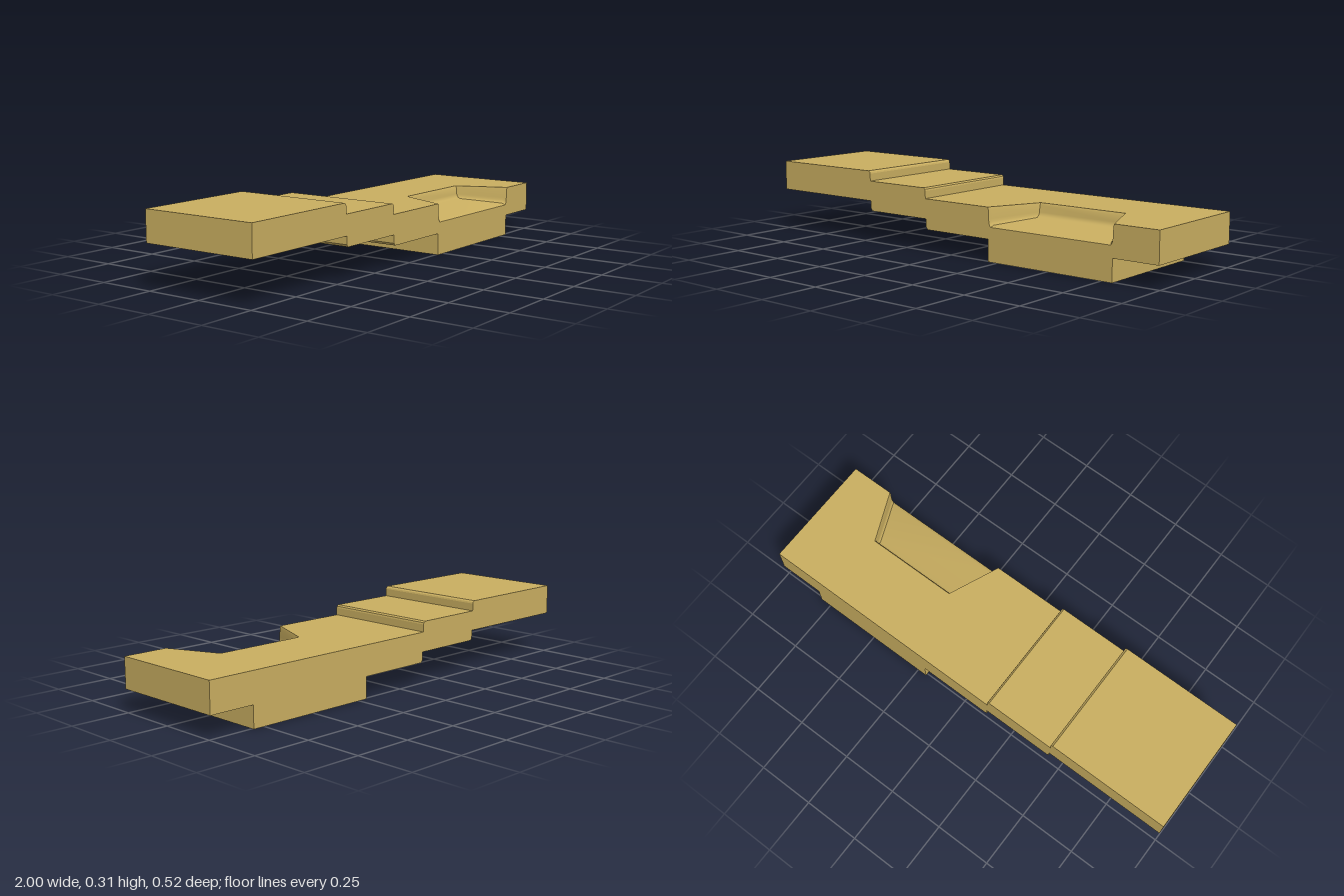
import * as THREE from 'three';
import { mergeGeometries, toCreasedNormals } from 'three/addons/utils/BufferGeometryUtils.js';

const HALF = 0.26;   // half depth of the slab
const DECK = 0.223;  // height of the lowest step
const BACK = 0.037;  // z of the recess back edge

// Build a geometry from a list of [a, b, c, d] quads
function quads(list) {
  const pos = [];
  for (const [a, b, c, d] of list) pos.push(...a, ...b, ...c, ...a, ...c, ...d);
  const g = new THREE.BufferGeometry();
  g.setAttribute('position', new THREE.Float32BufferAttribute(pos, 3));
  g.computeVertexNormals();
  return g;
}

function flatFace(points) {
  const g = new THREE.ShapeGeometry(new THREE.Shape(points.map(p => new THREE.Vector2(...p)))).toNonIndexed();
  g.deleteAttribute('uv');
  return g;
}

// Point of the recess: inset from the rim, fraction of full depth, t = 0 back to 1 front
const stations = [[1, 0.081], [0.93, 0.073], [0, 0.058]];
function recessPoint(inset, fraction, [t, depth], side) {
  const z = THREE.MathUtils.lerp(BACK + inset, HALF, t);
  const halfWidth = 0.3 - 0.43 * (HALF - z) - inset * 0.5;
  return [0.505 + side * halfWidth, DECK - depth * fraction, z];
}

export function createModel() {
  const group = new THREE.Group();
  group.name = 'steppedSlab';
  const material = new THREE.MeshStandardMaterial({ color: 0xc9ae60 });

  // Recess rings, from the rim through a chamfer and cove to the floor
  const rings = [[0, 0], [0.006, 0.16], [0.009, 0.65], [0.012, 0.8], [0.018, 0.92], [0.028, 1]].map(([inset, f]) => [
    ...stations.map(s => recessPoint(inset, f, s, -1)),
    ...[...stations].reverse().map(s => recessPoint(inset, f, s, 1)),
  ]);
  const recess = [];
  for (let i = 0; i < rings.length - 1; i++) {
    for (let j = 0; j < 5; j++) {
      recess.push([rings[i][j], rings[i + 1][j], rings[i + 1][j + 1], rings[i][j + 1]]);
    }
  }
  const floor = rings[rings.length - 1];
  for (let j = 0; j < 2; j++) recess.push([floor[j], floor[5 - j], floor[4 - j], floor[j + 1]]);
  const recessMesh = new THREE.Mesh(toCreasedNormals(quads(recess), 0.6), material);
  recessMesh.name = 'recess';

  // Side profile, counter-clockwise, starting and ending at the deck
  const profile = [
    [-0.132, DECK], [-0.132, 0.255], [-0.134, 0.262], [-0.142, 0.268],
    [-0.453, 0.268], [-0.453, 0.3], [-0.455, 0.306], [-0.463, 0.312],
    [-1, 0.312], [-1, 0.182],
    [-0.45, 0.182], [-0.45, 0.148], [-0.442, 0.138],
    [-0.128, 0.138], [-0.128, 0.103], [-0.12, 0.093],
    [0.207, 0.093], [0.207, 0], [0.8, 0], [0.8, 0.093], [1, 0.093], [1, DECK],
  ];
  const skin = [];
  for (let i = 0; i < profile.length - 1; i++) {
    const p = profile[i], q = profile[i + 1];
    skin.push([[...p, HALF], [...p, -HALF], [...q, -HALF], [...q, HALF]]);
  }

  // Front wall follows the open end of the recess; the back wall is plain
  const front = rings.map(r => r[0]), frontRight = rings.map(r => r[5]);
  const notch = [...frontRight, ...front.reverse()].map(([x, y]) => [x, y]);
  const frontWall = flatFace([...profile, ...notch]).translate(0, 0, HALF);
  const backWall = flatFace(profile.map(([x, y]) => [-x, y])).rotateY(Math.PI).translate(0, 0, -HALF);

  // Deck with the trapezoid cut out of its front edge
  const rim = rings[0];
  const deck = flatFace([
    [-0.132, -HALF], ...[rim[0], rim[2], rim[3], rim[5]].map(([x, , z]) => [x, -z]),
    [1, -HALF], [1, HALF], [-0.132, HALF],
  ]).rotateX(-Math.PI / 2).translate(0, DECK, 0);

  const body = new THREE.Mesh(mergeGeometries([quads(skin), frontWall, backWall, deck]), material);
  body.name = 'body';
  group.add(body, recessMesh);
  return group;
}
